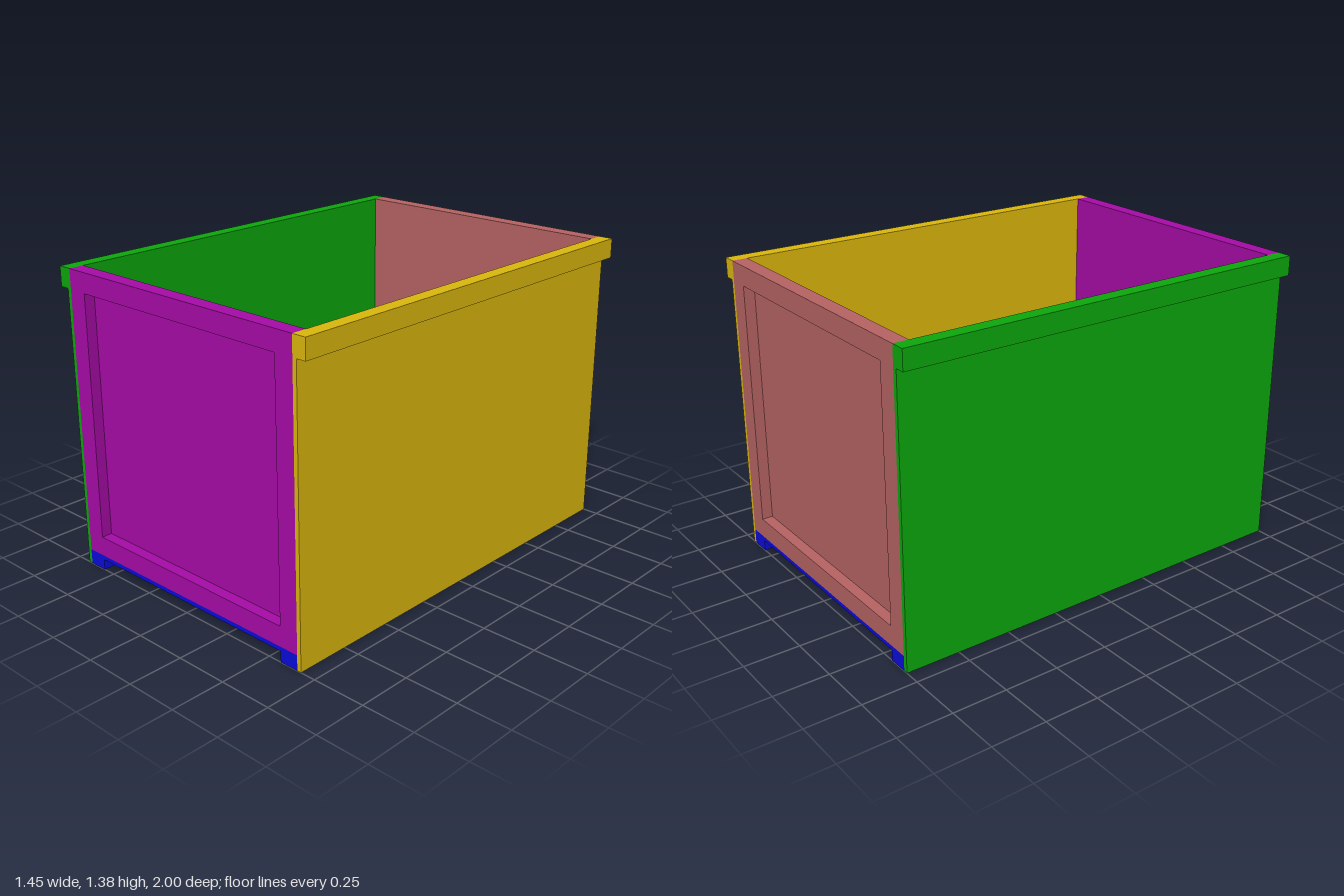
import * as THREE from 'three';

const IN = 0.657, OUT = 0.677, RIM = 0.723; // half widths: inside, outer skin, rim
const TOP = 1.38, FLOOR = 0.07, SKIN = 0.02, FRAME = 0.07, BORDER = 0.092;

function polygon(points) {
  return new THREE.Shape(points.map(([x, y]) => new THREE.Vector2(x, y)));
}

// Extrude a cross-section in the xy plane from z0 to z1
function extrude(shape, z0, z1) {
  const geometry = new THREE.ExtrudeGeometry(shape, { depth: z1 - z0, bevelEnabled: false });
  return geometry.translate(0, 0, z0);
}

function part(name, geometry, color) {
  const material = new THREE.MeshStandardMaterial({ color, flatShading: true });
  const mesh = new THREE.Mesh(geometry, material);
  mesh.name = name;
  return mesh;
}

// Long side wall with a thick rim; s is +1 for left, -1 for right
function sideWall(name, s, color) {
  const profile = [
    [IN, 0], [OUT, 0], [OUT, 1.29], [RIM, 1.29], [RIM, TOP], [IN, TOP],
  ].map(([x, y]) => [s * x, y]);
  return part(name, extrude(polygon(profile), -1, 1), color);
}

// End wall: a thin panel behind a raised border frame
function endWall(name, color) {
  const rect = (x, y0, y1) => [[-x, y0], [x, y0], [x, y1], [-x, y1]];
  const wall = new THREE.Group();
  wall.name = name;
  const border = polygon(rect(IN, FLOOR, TOP));
  border.holes.push(polygon(rect(IN - BORDER, FLOOR + BORDER, TOP - BORDER)));
  wall.add(part(name + 'Border', extrude(border, 1 - FRAME + SKIN, 1), color));
  wall.add(part(name + 'Panel', extrude(polygon(rect(IN, FLOOR, TOP)), 1 - FRAME, 1 - FRAME + SKIN), color));
  return wall;
}

export function createModel() {
  const group = new THREE.Group();
  group.name = 'openCrate';

  // Floor with a runner along each long edge
  const r = IN - BORDER, under = FLOOR - SKIN;
  const floor = polygon([
    [-IN, 0], [-r, 0], [-r, under], [r, under], [r, 0], [IN, 0], [IN, FLOOR], [-IN, FLOOR],
  ]);
  group.add(part('floorWithRunners', extrude(floor, -1, 1), 0x0c0cdc));

  // Side walls
  group.add(sideWall('leftWall', 1, 0xdcb80c));
  group.add(sideWall('rightWall', -1, 0x0ca80c));

  // End walls
  group.add(endWall('frontWall', 0xa80ca8));
  const back = endWall('backWall', 0xb86464);
  back.rotation.y = Math.PI;
  group.add(back);

  return group;
}
